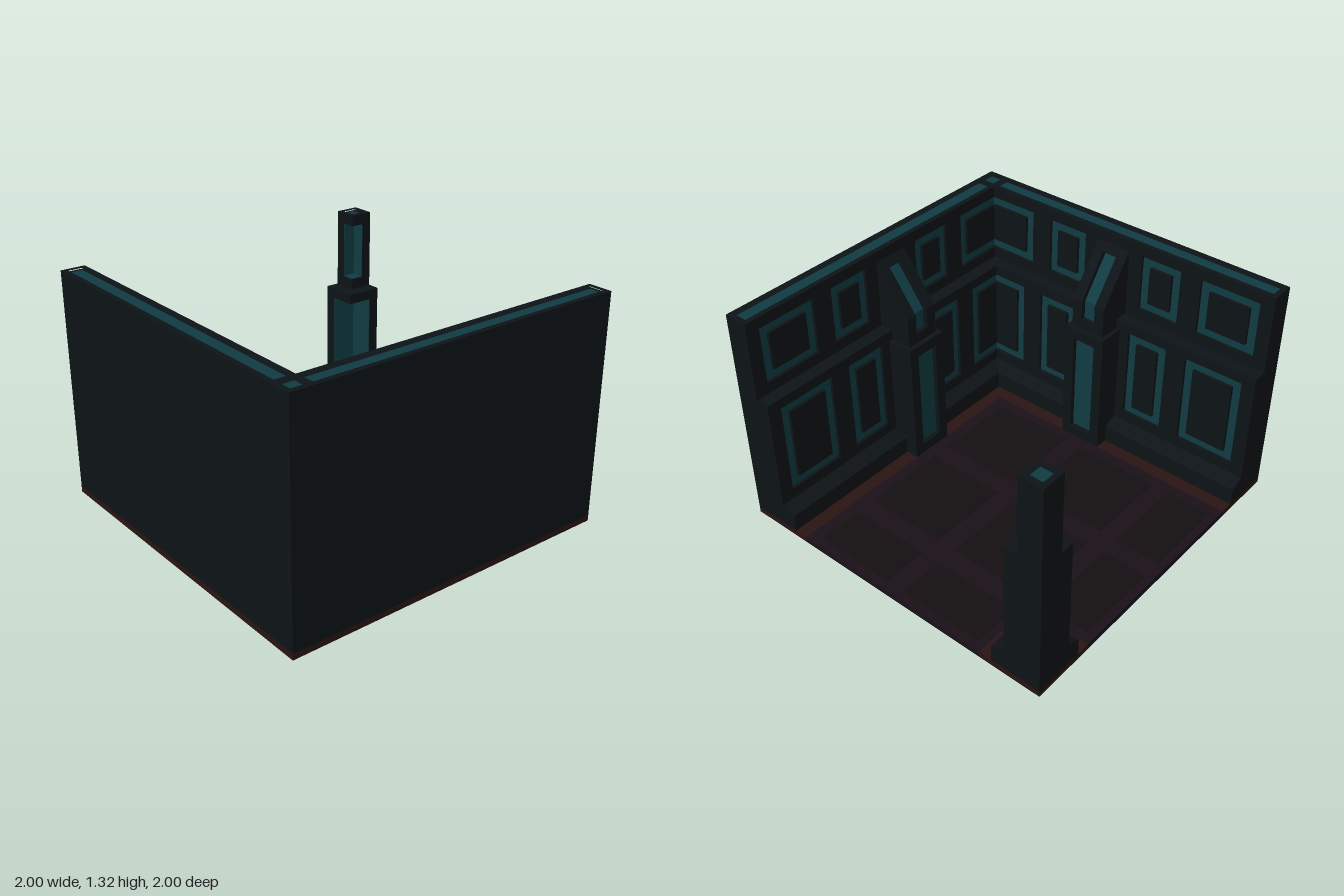
import * as THREE from 'three';

const mat = (color) => new THREE.MeshStandardMaterial({ color });
const dark = mat(0x0d1316), teal = mat(0x0f3c42), rust = mat(0x2a1412);
const plum = mat(0x1a1018), tileMat = mat(0x141012);

const FLOOR = 0.035, TOP = 1.315, LIP = 0.015;

function add(parent, name, geometry, material) {
  const mesh = new THREE.Mesh(geometry, material);
  mesh.name = name;
  parent.add(mesh);
  return mesh;
}

// box given by its two extreme corners
function block(x0, x1, y0, y1, z0, z1) {
  return new THREE.BoxGeometry(x1 - x0, y1 - y0, z1 - z0)
    .translate((x0 + x1) / 2, (y0 + y1) / 2, (z0 + z1) / 2);
}

const rect = (x0, x1, y0, y1) => [[x0, y0], [x1, y0], [x1, y1], [x0, y1]];

function extrude(points, depth, holes = []) {
  const vec = (list) => list.map(([x, y]) => new THREE.Vector2(x, y));
  const shape = new THREE.Shape(vec(points));
  for (const h of holes) shape.holes.push(new THREE.Path(vec(h)));
  return new THREE.ExtrudeGeometry(shape, { depth, bevelEnabled: false });
}

// plan outline in x, z raised from y0 to y1
function slab(points, y0, y1, holes = []) {
  const flip = (list) => list.map(([x, z]) => [x, -z]);
  return extrude(flip(points), y1 - y0, holes.map(flip)).rotateX(-Math.PI / 2).translate(0, y0, 0);
}

// section in depth, height swept along x; depth 0 is the outer wall face
function sweep(points, x0, x1) {
  return extrude(points, x1 - x0).rotateY(-Math.PI / 2).translate(x1, 0, -1);
}

// panelled face with sunken teal frames around flush inner panels
function panelRow(wall, name, y0, y1, fy0, fy1, depth) {
  const sunk = 0.02, bar = 0.055, z = -1 + depth;
  const spans = [[-0.92, -0.565], [-0.44, -0.19], [0.19, 0.44], [0.565, 0.92]];
  const holes = spans.map(([a, b]) => rect(a, b, fy0, fy1));
  add(wall, name + 'Face', extrude(rect(-1, 1, y0, y1), sunk, holes).translate(0, 0, z - sunk), dark);
  for (const [a, b] of spans) {
    add(wall, name + 'Frame', block(a, b, fy0, fy1, z - sunk - 0.01, z - sunk + 0.002), teal);
    add(wall, name + 'Panel',
      block(a + bar, b - bar, fy0 + bar, fy1 - bar, z - sunk, z), dark);
  }
}

function makeWall(name) {
  const wall = new THREE.Group();
  wall.name = name;
  // core and skirting
  add(wall, 'wallCore', sweep([[0, FLOOR], [0.2, FLOOR], [0.2, 0.85], [0.12, 0.85],
    [0.12, TOP - LIP], [0, TOP - LIP]], -1, 1), dark);
  add(wall, 'skirting', sweep([[0.1, FLOOR], [0.3, FLOOR], [0.3, 0.14], [0.22, 0.175], [0.1, 0.175]], -1, 1), dark);
  panelRow(wall, 'lower', FLOOR, 0.85, 0.24, 0.79, 0.22);
  panelRow(wall, 'upper', 0.85, TOP - LIP, 0.915, 1.25, 0.14);

  // pilaster with a sunken strip
  add(wall, 'pilasterCore', block(-0.13, 0.13, FLOOR, 0.79, -0.9, -0.65), dark);
  add(wall, 'pilasterFace', extrude(rect(-0.13, 0.13, FLOOR, 0.79), 0.03,
    [rect(-0.07, 0.07, 0.1, 0.725)]).translate(0, 0, -0.65), dark);
  add(wall, 'pilasterStrip', block(-0.07, 0.07, 0.1, 0.725, -0.66, -0.648), teal);

  // sloping bracket: two cheeks and a notched middle
  const cheek = [[0.1, 0.79], [0.35, 0.79], [0.35, 0.97], [0.14, 1.25], [0.1, 1.25]];
  for (const [a, b] of [[-0.105, -0.043], [0.043, 0.105]]) {
    add(wall, 'bracketCheek', sweep(cheek, a, b), dark);
  }
  add(wall, 'bracketMiddle', sweep([[0.1, 0.79], [0.35, 0.79], [0.35, 0.85], [0.32, 0.85], [0.32, 0.96],
    [0.15, 1.187], [0.174, 1.205], [0.14, 1.25], [0.1, 1.25]], -0.043, 0.043), dark);
  add(wall, 'bracketStrip', sweep([[0.318, 0.85], [0.322, 0.85], [0.322, 0.961], [0.152, 1.189],
    [0.148, 1.186], [0.318, 0.958]], -0.043, 0.043), teal);
  return wall;
}

// square corner shaft whose inner edge is notched and lined in teal
function shaft(column, name, size, notch, y0, n0, n1, y1) {
  const a = 1 - size, b = a + notch, t = 0.003;
  add(column, name + 'Foot', block(a, 1, y0, n0, -1, -a), dark);
  add(column, name + 'Head', block(a, 1, n1, y1, -1, -a), dark);
  add(column, name + 'Shaft',
    slab([[a, -1], [1, -1], [1, -a], [b, -a], [b, -b], [a, -b]], n0, n1), dark);
  add(column, name + 'NotchSide', block(b - t, b, n0, n1, -b, -a), teal);
  add(column, name + 'NotchSide', block(a, b, n0, n1, -b, -b + t), teal);
  add(column, name + 'NotchFloor', block(a, b, n0, n0 + t, -b, -a), teal);
}

function makeColumn() {
  const column = new THREE.Group();
  column.name = 'cornerColumn';
  add(column, 'columnBase', block(0.7, 1, FLOOR, 0.14, -1, -0.7), dark);
  // bevel above the base, drawn in on the two inner sides
  const bevel = block(0.7, 1, 0.14, 0.175, -1, -0.7);
  const p = bevel.attributes.position;
  for (let i = 0; i < p.count; i++) {
    if (p.getY(i) < 0.15) continue;
    if (p.getX(i) < 0.8) p.setX(i, 0.78);
    if (p.getZ(i) > -0.8) p.setZ(i, -0.78);
  }
  bevel.computeVertexNormals();
  add(column, 'columnBevel', bevel, dark);
  shaft(column, 'lower', 0.22, 0.157, 0.14, 0.24, 0.79, 0.85);
  shaft(column, 'upper', 0.14, 0.08, 0.85, 0.915, 1.25, TOP - LIP);
  // cap with a sunken square
  const inset = rect(0.885, 0.965, -0.97, -0.89);
  add(column, 'columnCap', slab(rect(0.86, 1, -1, -0.86), TOP - LIP, TOP, [inset]), dark);
  add(column, 'capInset', slab(inset, TOP - LIP, TOP - LIP + 0.003), teal);
  return column;
}

function makeFloor() {
  const floor = new THREE.Group();
  floor.name = 'floor';
  // border below walls and column
  add(floor, 'floorBorder', slab([[-1, -1], [-0.62, -1], [-0.62, 0.62], [1, 0.62], [1, 1], [-1, 1]], 0, FLOOR), rust);
  add(floor, 'columnBorder', slab(rect(0.62, 1, -1, -0.62), 0, FLOOR), rust);
  add(floor, 'floorField', slab([[-0.62, -1], [0.62, -1], [0.62, -0.62], [1, -0.62], [1, 0.62], [-0.62, 0.62]],
    0, FLOOR), plum);
  // darker tiles
  const xs = [[-0.55, -0.06], [0.06, 0.56], [0.68, 0.95]];
  const zs = [[-0.95, -0.68], [-0.57, -0.06], [0.06, 0.55]];
  xs.forEach(([x0, x1], i) => zs.forEach(([z0, z1], j) => {
    if (i === 2 && j === 0) return;
    add(floor, 'floorTile', block(x0, x1, FLOOR - 0.01, FLOOR + 0.003, z0, z1), tileMat);
  }));
  return floor;
}

export function createModel() {
  const model = new THREE.Group();
  model.name = 'roomCorner';
  model.add(makeFloor(), makeColumn());

  const frontWall = makeWall('frontWall');
  frontWall.rotation.y = Math.PI;
  const sideWall = makeWall('sideWall');
  sideWall.rotation.y = Math.PI / 2;
  model.add(frontWall, sideWall);

  // wall coping with sunken strips
  const strips = [rect(-0.97, -0.89, -0.97, 0.855), rect(-0.97, -0.89, 0.89, 0.97), rect(-0.855, 0.97, 0.89, 0.97)];
  add(model, 'wallCoping', slab([[-1, -1], [-0.86, -1], [-0.86, 0.86], [1, 0.86], [1, 1], [-1, 1]],
    TOP - LIP, TOP, strips), dark);
  for (const s of strips) add(model, 'copingStrip', slab(s, TOP - LIP, TOP - LIP + 0.003), teal);
  return model;
}
